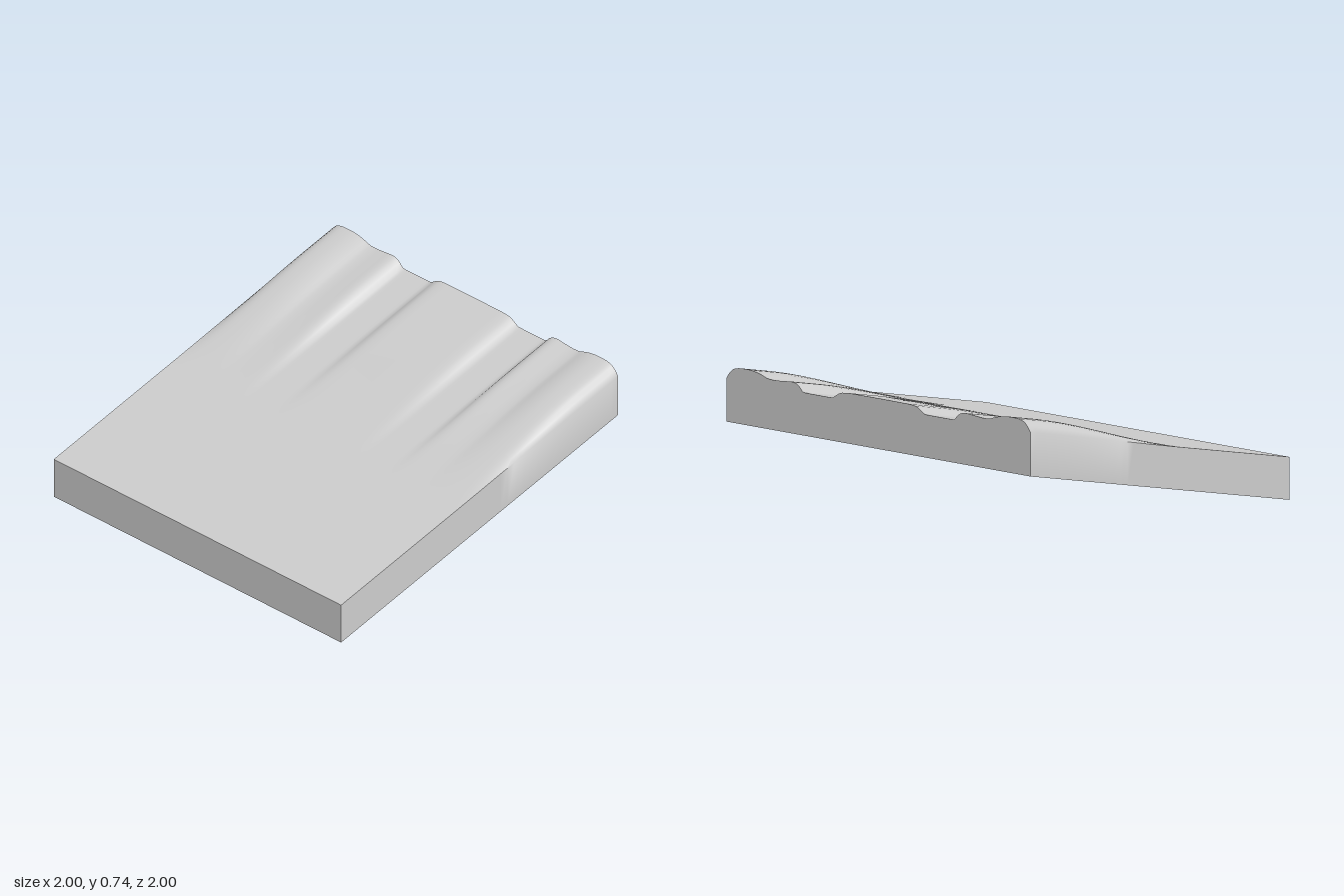
import * as THREE from 'three';
import { toCreasedNormals } from 'three/addons/utils/BufferGeometryUtils.js';

// Ridge height above the plain slab, by distance from the centre line
const RIDGES = [
  [0, 0.04], [0.2, 0.039], [0.24, 0.035], [0.26, 0.028], [0.28, 0.016], [0.3, 0.002], [0.32, 0],
  [0.49, 0], [0.5, 0.003], [0.52, 0.025], [0.54, 0.039], [0.56, 0.044], [0.58, 0.045], [0.62, 0.041],
  [0.68, 0.036], [0.72, 0.037], [0.74, 0.041], [0.76, 0.049], [0.8, 0.06], [0.84, 0.066],
  [0.88, 0.067], [0.92, 0.065], [0.94, 0.061], [0.96, 0.053], [0.98, 0.035], [1, 0.006],
];

function ridgeHeight(z) {
  const d = Math.min(Math.abs(z), 1);
  const i = Math.max(1, RIDGES.findIndex((p) => p[0] >= d - 1e-6));
  const [d0, h0] = RIDGES[i - 1];
  const [d1, h1] = RIDGES[i];
  return h0 + (h1 - h0) * (d - d0) / (d1 - d0);
}

export function createModel() {
  const group = new THREE.Group();
  group.name = 'ridgedRamp';
  const grey = new THREE.MeshStandardMaterial({ color: 0xcccccc });
  grey.name = 'light grey';

  // Slanted slab whose top swells into ridges towards the high end
  const geometry = new THREE.BoxGeometry(2, 1, 2, 40, 1, 100);
  const pos = geometry.attributes.position;
  for (let i = 0; i < pos.count; i++) {
    const x = pos.getX(i);
    const z = pos.getZ(i);
    let y = 0.225 * (x + 1);
    if (pos.getY(i) > 0) {
      y += 0.22 + ridgeHeight(z) * THREE.MathUtils.smoothstep(x, -0.2, 0.8);
    }
    pos.setY(i, y);
  }

  const slab = new THREE.Mesh(toCreasedNormals(geometry, Math.PI / 3), grey);
  slab.name = 'rampSlab';
  group.add(slab);
  return group;
}
